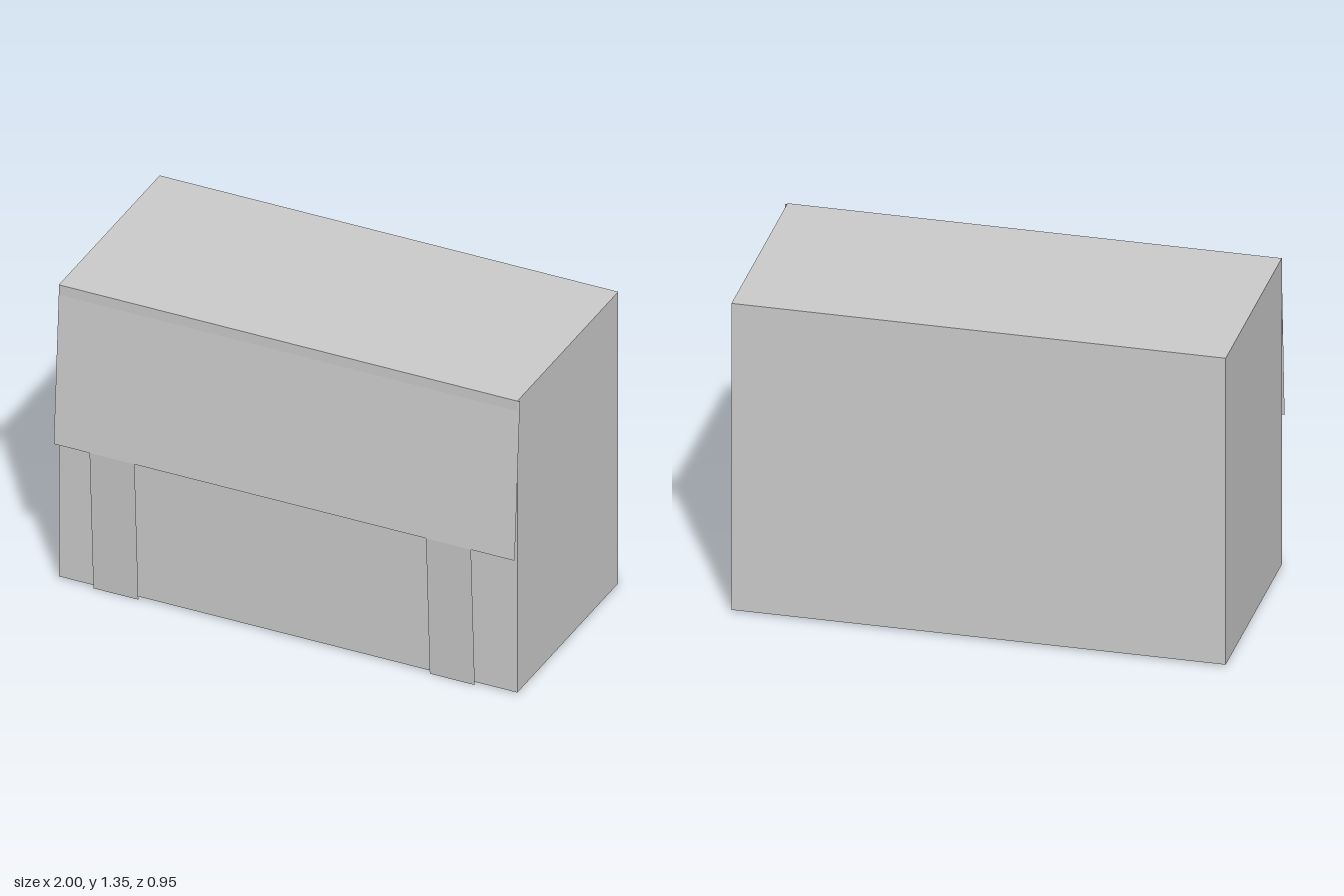
import * as THREE from 'three';

const grey = new THREE.MeshStandardMaterial({ color: 0xcccccc, flatShading: true });
const sheetGrey = new THREE.MeshStandardMaterial({ color: 0xcccccc, flatShading: true, side: THREE.DoubleSide });

// Flat sheet leaning between a top edge and a bottom edge, each given as [y, z]
function sheet(name, x0, x1, [topY, topZ], [botY, botZ]) {
  const geometry = new THREE.PlaneGeometry(1, 1);
  const p = geometry.attributes.position;
  for (let i = 0; i < p.count; i++) {
    const top = p.getY(i) > 0;
    p.setXYZ(i, p.getX(i) < 0 ? x0 : x1, top ? topY : botY, top ? topZ : botZ);
  }
  geometry.computeVertexNormals();
  const mesh = new THREE.Mesh(geometry, sheetGrey);
  mesh.name = name;
  return mesh;
}

export function createModel() {
  const group = new THREE.Group();
  group.name = 'satchel';

  // Solid bag body
  const body = new THREE.Mesh(new THREE.BoxGeometry(1.99, 1.337, 0.905), grey);
  body.name = 'body';
  body.position.set(-0.005, 0.6765, -0.0225);
  group.add(body);

  // Front flap, hinged at the top edge and flaring outward
  group.add(sheet('flap', -1, 1, [1.343, 0.427], [0.64, 0.475]));

  // Two straps hanging from the flap's lower edge
  for (const [name, x0, x1] of [['rightStrap', -0.845, -0.65], ['leftStrap', 0.615, 0.81]]) {
    group.add(sheet(name, x0, x1, [0.64, 0.474], [0, 0.44]));
  }
  return group;
}
